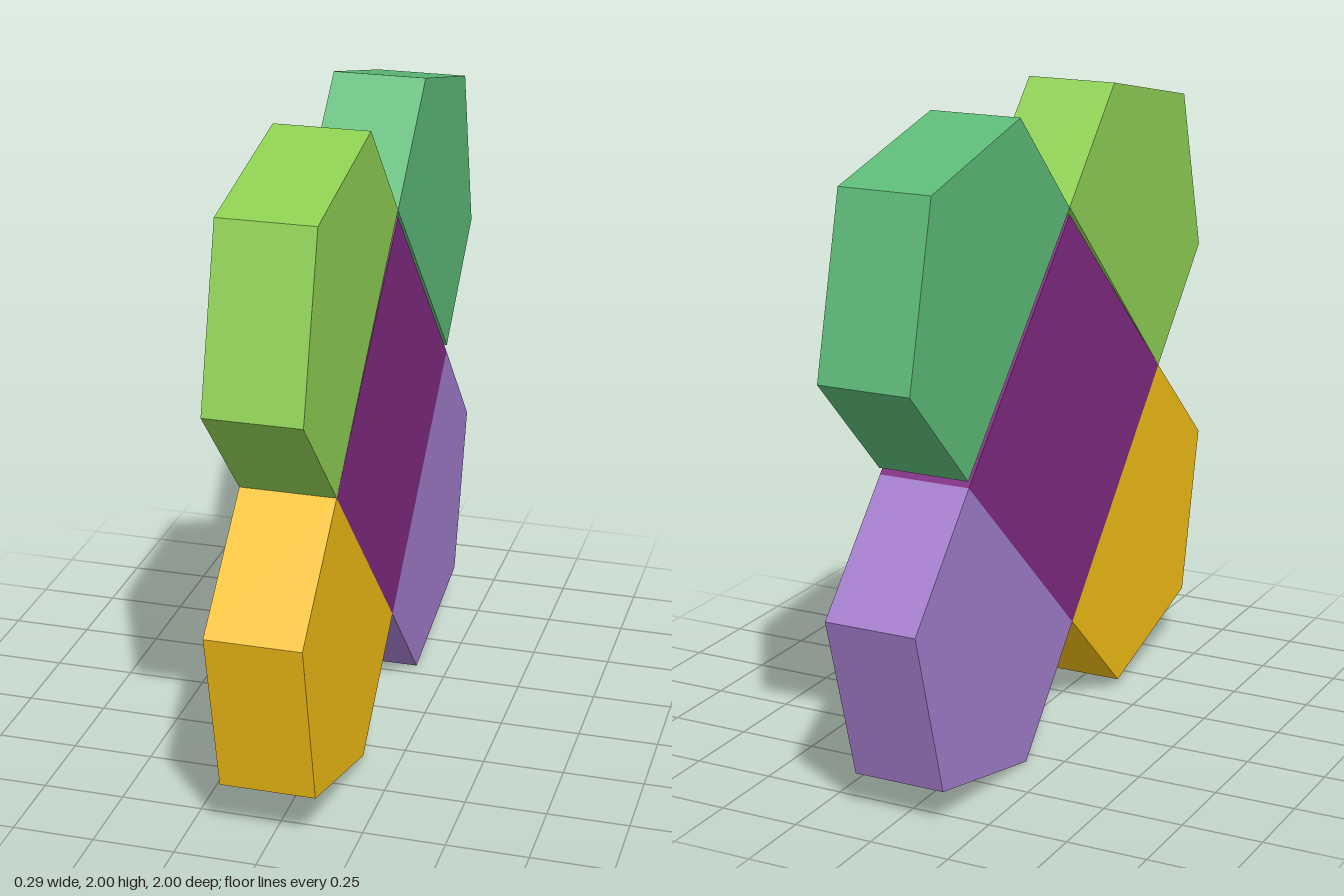
import * as THREE from 'three';

const THICKNESS = 0.29;

// Corner points are [z, y]; each slab is extruded along x and centred on x = 0
function slab(name, color, points) {
  const shape = new THREE.Shape(points.map(([z, y]) => new THREE.Vector2(z, y)));
  const geometry = new THREE.ExtrudeGeometry(shape, { depth: THICKNESS, bevelEnabled: false });
  geometry.translate(0, 0, -THICKNESS / 2).rotateY(-Math.PI / 2);
  const mesh = new THREE.Mesh(geometry, new THREE.MeshStandardMaterial({ color }));
  mesh.name = name;
  return mesh;
}

export function createModel() {
  const group = new THREE.Group();
  group.name = 'flowerTile';

  // Square centre, turned onto its corner
  const top = [-0.015, 1.65], front = [0.653, 1.024], bottom = [0.017, 0.347], back = [-0.662, 0.982];
  group.add(slab('centreBlock', 0x802a80, [top, front, bottom, back]));

  // Four petals: hexagons cut off where they meet the centre
  group.add(slab('upperFrontPetal', 0x8fd053,
    [[-0.015, 1.672], [0.293, 2.0], [0.828, 1.888], [0.974, 1.365], front]));
  group.add(slab('upperBackPetal', 0x5dbb78,
    [[-0.015, 1.67], [-0.666, 1.003], [-0.995, 1.333], [-0.864, 1.861], [-0.337, 1.99]]));
  group.add(slab('lowerFrontPetal', 0xf2bd15,
    [front, [1.0, 0.707], [0.882, 0.175], [0.362, 0.028], bottom]));
  group.add(slab('lowerBackPetal', 0xa27ccb,
    [back, bottom, [-0.303, 0], [-0.832, 0.115], [-0.983, 0.638]]));

  return group;
}
